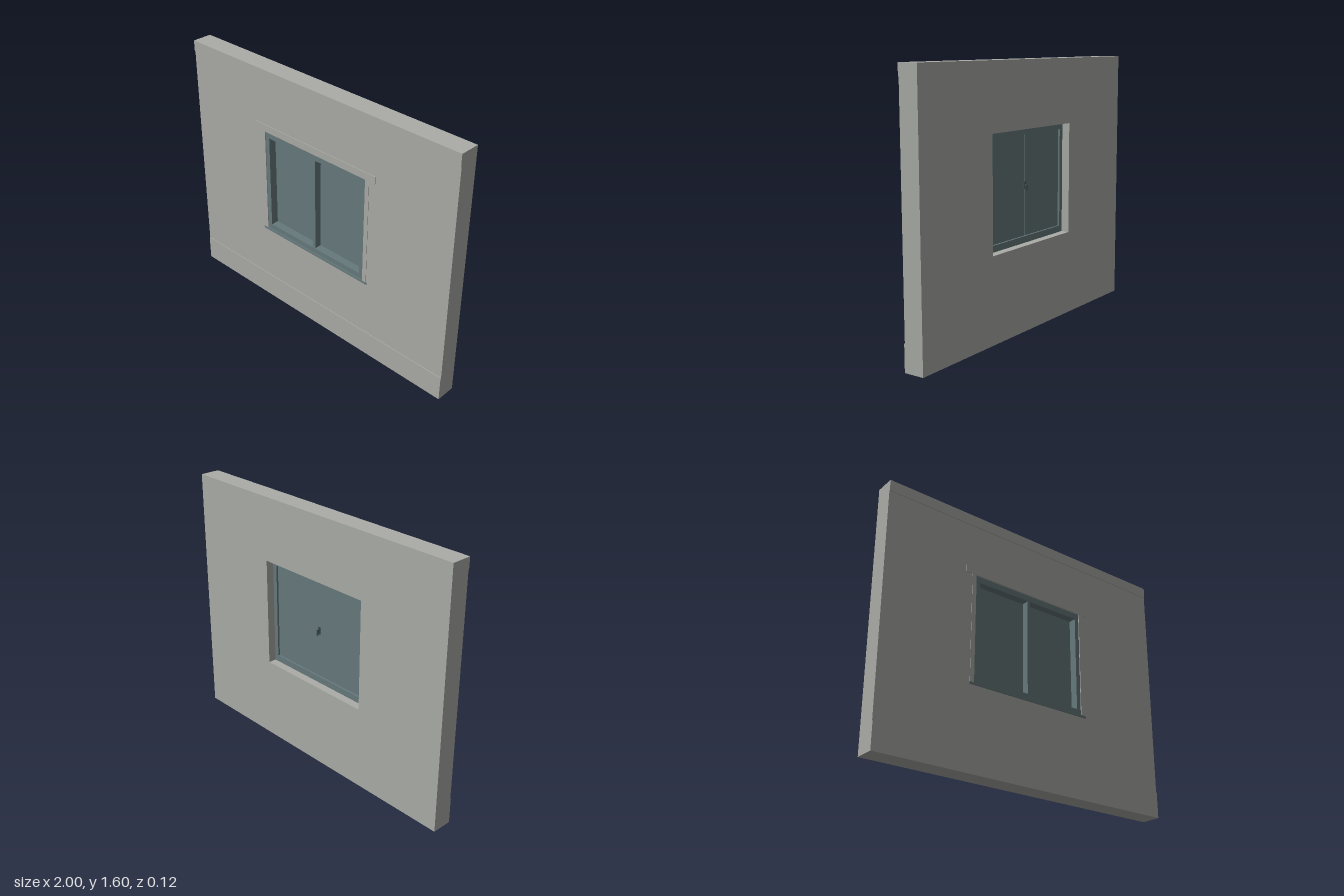
import * as THREE from 'three';

export function createModel() {
  const root = new THREE.Group();
  const plaster = new THREE.MeshStandardMaterial({ color: 0xabada8 });
  plaster.name = 'grey plaster';
  const teal = new THREE.MeshStandardMaterial({ color: 0x677a7d });
  teal.name = 'blue grey window';
  const dark = new THREE.MeshStandardMaterial({ color: 0x465355 });
  dark.name = 'dark handle';

  const add = (parent, name, geometry, material) => {
    const mesh = new THREE.Mesh(geometry, material);
    mesh.name = name;
    parent.add(mesh);
    return mesh;
  };
  // Box given by its limits on each axis
  const block = (parent, name, [x0, x1], [y0, y1], [z0, z1], material) => {
    const mesh = add(parent, name, new THREE.BoxGeometry(x1 - x0, y1 - y0, z1 - z0), material);
    mesh.position.set((x0 + x1) / 2, (y0 + y1) / 2, (z0 + z1) / 2);
    return mesh;
  };
  // Rectangular panel with a rectangular hole: [x0, x1, y0, y1]
  const loop = (path, [x0, x1, y0, y1]) =>
    path.moveTo(x0, y0).lineTo(x1, y0).lineTo(x1, y1).lineTo(x0, y1).closePath();
  const ring = (parent, name, outer, inner, z0, z1, material) => {
    const shape = loop(new THREE.Shape(), outer);
    shape.holes.push(loop(new THREE.Path(), inner));
    const geometry = new THREE.ExtrudeGeometry(shape, { depth: z1 - z0, bevelEnabled: false });
    geometry.translate(0, 0, z0);
    return add(parent, name, geometry, material);
  };

  // Wall with its opening, and shallow bands along foot and top
  const opening = [-0.394, 0.394, 0.52, 1.203];
  ring(root, 'wall', [-1, 1, 0, 1.6], opening, -0.0625, 0.058, plaster);
  block(root, 'plinth', [-1, 1], [0, 0.16], [0.058, 0.0625], plaster);
  block(root, 'topBand', [-1, 1], [1.53, 1.6], [0.058, 0.0625], plaster);

  // Trim around the front of the opening
  block(root, 'header', [-0.465, 0.465], [1.205, 1.25], [0.058, 0.0625], plaster);
  for (const side of [-1, 1]) {
    const edges = [side * 0.394, side * 0.422].sort((a, b) => a - b);
    block(root, side < 0 ? 'rightTrim' : 'leftTrim', edges, [0.525, 1.205], [0.058, 0.0605], plaster);
  }
  block(root, 'sill', [-0.427, 0.427], [0.512, 0.525], [0.05, 0.0625], teal);

  // Window: frame, two panes, centre post and inside handle
  const window = new THREE.Group();
  window.name = 'window';
  root.add(window);
  ring(window, 'frame', opening, [-0.365, 0.365, 0.56, 1.165], -0.012, 0.055, teal);
  block(window, 'rightPane', [-0.37, -0.0015], [0.555, 1.17], [0, 0.006], teal);
  block(window, 'leftPane', [0.0015, 0.37], [0.555, 1.17], [0, 0.006], teal);
  block(window, 'centrePost', [-0.01, 0.01], [0.56, 1.165], [0.004, 0.052], teal);
  block(window, 'handlePlate', [-0.008, 0.008], [0.84, 0.885], [-0.006, 0.001], dark);
  block(window, 'handleLever', [-0.005, 0.005], [0.835, 0.87], [-0.02, -0.012], dark);
  block(window, 'handleNeck', [-0.004, 0.004], [0.86, 0.87], [-0.013, -0.005], dark);

  return root;
}
